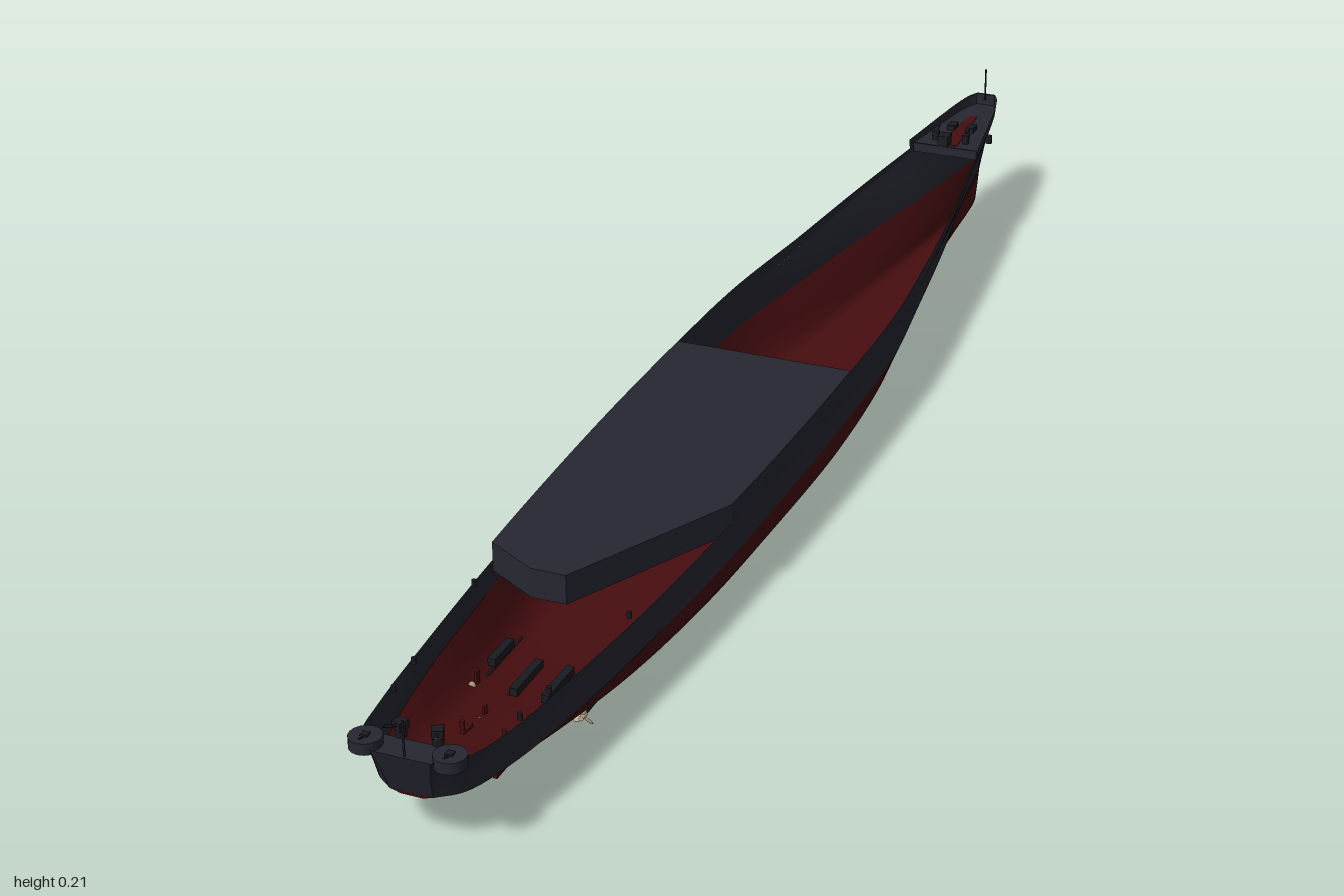
import * as THREE from 'three';

const mat = (name, color, side = THREE.FrontSide) => {
  const m = new THREE.MeshStandardMaterial({ color, side });
  m.name = name;
  return m;
};

// Surface through rows of points of equal length
function loft(rows) {
  const n = rows[0].length, idx = [];
  for (let i = 0; i < rows.length - 1; i++)
    for (let j = 0; j < n - 1; j++) {
      const a = i * n + j, b = a + n;
      idx.push(a, a + 1, b, b, a + 1, b + 1);
    }
  const g = new THREE.BufferGeometry().setFromPoints(rows.flat());
  g.setIndex(idx);
  g.computeVertexNormals();
  return g;
}

export function createModel() {
  const ship = new THREE.Group();
  ship.name = 'shipHull';
  const grey = mat('hullGrey', 0x262731, THREE.DoubleSide);
  const red = mat('antifoulingRed', 0x480e10, THREE.DoubleSide);
  const black = mat('fittingBlack', 0x1a1b20);
  const bronze = mat('propellerBronze', 0xc8b090, THREE.DoubleSide);
  const V = (x, y, z) => new THREE.Vector3(x, y, z);
  const add = (name, geo, m, x = 0, y = 0, z = 0, parent = ship) => {
    const mesh = new THREE.Mesh(geo, m);
    mesh.name = name;
    mesh.position.set(x, y, z);
    parent.add(mesh);
    return mesh;
  };
  const box = (name, w, h, d, m, x, y, z, p) => add(name, new THREE.BoxGeometry(w, h, d), m, x, y, z, p);
  const cyl = (name, r, h, m, x, y, z, p) => add(name, new THREE.CylinderGeometry(r, r, h, 16), m, x, y, z, p);

  // Stations, bow to stern: z bottom, z top, half widths (sheer, waterline, bilge), keel y, sheer y
  const stations = [
    [-0.945, -0.990, 0.012, 0.002, 0.002, 0.003, 0.150],
    [-0.925, -0.970, 0.022, 0.008, 0.004, 0, 0.148],
    [-0.780, -0.785, 0.052, 0.032, 0.018, 0, 0.136],
    [-0.600, -0.600, 0.079, 0.064, 0.044, 0, 0.125],
    [-0.400, -0.400, 0.102, 0.094, 0.074, 0, 0.113],
    [-0.220, -0.220, 0.119, 0.118, 0.106, 0, 0.108],
    [0.000, 0.000, 0.123, 0.125, 0.122, 0, 0.106],
    [0.200, 0.200, 0.122, 0.125, 0.122, 0, 0.106],
    [0.400, 0.400, 0.116, 0.122, 0.115, 0, 0.106],
    [0.580, 0.580, 0.107, 0.111, 0.097, 0.003, 0.107],
    [0.750, 0.750, 0.093, 0.096, 0.080, 0.026, 0.110],
    [0.880, 0.890, 0.078, 0.074, 0.060, 0.047, 0.114],
    [0.945, 0.960, 0.062, 0.052, 0.042, 0.057, 0.120],
    [0.968, 0.990, 0.036, 0.026, 0.018, 0.061, 0.123],
  ];
  const WL = 0.066;
  const section = ([zb, zt, wt, ww, wb, yk, ys]) => {
    const at = (x, y) => V(x, y, zb + (zt - zb) * THREE.MathUtils.clamp((y - yk) / (ys - yk), 0, 1));
    const h = WL - yk;
    return [at(0, yk), at(wb * 0.68, yk), at(wb * 0.87, yk + h * 0.16), at(wb, yk + h * 0.5),
      at(ww, WL), at((wt + ww) / 2 - 0.002, (WL + ys) / 2), at(wt, ys)];
  };
  const sections = stations.map(section);
  const lines = sections[0].map((_, j) => new THREE.CatmullRomCurve3(sections.map(s => s[j])).getPoints(78));
  const mirror = rows => rows.map(r => r.map(p => V(-p.x, p.y, p.z)));

  // Half hulls and the closing faces at stem and stern
  for (const [name, rows, m] of [['lowerHull', lines.slice(0, 5), red], ['upperHull', lines.slice(4), grey]]) {
    add(name + 'Left', loft(rows), m);
    add(name + 'Right', loft(mirror(rows)), m);
    for (const k of [0, 78]) {
      const edge = rows.map(r => r[k]);
      add(name + (k ? 'Transom' : 'Stem'), loft([edge, ...mirror([edge])]), m);
    }
  }

  // Sheer line lookup by z
  const sheer = lines[6];
  const sheerAt = z => {
    let i = 1;
    while (i < sheer.length - 1 && sheer[i].z < z) i++;
    const a = sheer[i - 1], b = sheer[i];
    return a.clone().lerp(b, THREE.MathUtils.clamp((z - a.z) / (b.z - a.z), 0, 1));
  };
  const span = (z0, z1, n) => Array.from({ length: n + 1 }, (_, i) => sheerAt(z0 + (z1 - z0) * i / n));

  // Raised side strakes, ending further forward on the left
  const strake = (name, s, z0, z1, top, flare) => {
    const low = span(z0, z1, 40).map(p => V(p.x * s, p.y, p.z));
    add(name, loft([low, low.map(p => V(p.x + s * flare, top(p.z), p.z))]), grey);
  };
  const sideTop = z => 0.13 + 0.014 * Math.pow(Math.max(0, (-0.42 - z) / 0.36), 1.2);
  const bowTop = z => 0.157 + 0.009 * (-0.78 - z) / 0.21;
  for (const s of [1, -1]) {
    const side = s > 0 ? 'Left' : 'Right';
    strake('sideStrake' + side, s, -0.78, s > 0 ? 0.36 : 0.55, sideTop, 0);
    strake('bowBulwark' + side, s, -0.989, -0.78, bowTop, 0.002);
  }
  const tip = sheerAt(-0.989);
  box('bowPlate', tip.x * 2 + 0.004, 0.017, 0.004, grey, 0, 0.1575, -0.988);

  // Flat deck plates
  const plate = (name, pts, y, m, t = 0.003) => {
    const g = new THREE.ExtrudeGeometry(new THREE.Shape(pts.map(p => new THREE.Vector2(p.x, -p.z))),
      { depth: t, bevelEnabled: false });
    g.rotateX(-Math.PI / 2);
    return add(name, g, m, 0, y, 0);
  };
  const flip = pts => pts.map(p => V(-p.x, p.y, p.z)).reverse();
  const cut = [sheerAt(0.36), V(0.005, 0, 0.59), V(-0.04, 0, 0.59), flip([sheerAt(0.55)])[0]];
  plate('mainDeck', [...span(-0.04, 0.36, 14), ...cut.slice(1, 3), ...flip(span(-0.04, 0.55, 20))], 0.1275, grey);
  for (let i = 0; i < 3; i++) {
    const wall = y => [cut[i], cut[i + 1]].map(p => V(p.x, y, p.z));
    add('deckEndBulkhead', loft([wall(0.092), wall(0.13)]), grey);
  }
  const fore = span(-0.986, -0.79, 10);
  plate('foreDeck', [...fore, ...flip(fore)], 0.146, grey);
  const inner = [V(0.005, 0, -0.93), V(0.015, 0, -0.8)];
  plate('foreDeckWell', [...inner, ...flip(inner)], 0.149, red, 0.001);

  // Light gun: pedestal, shield and barrel
  const gun = (name, x, y, z, s, dir) => {
    const g = new THREE.Group();
    g.name = name;
    cyl('pedestal', 0.006, 0.01, black, 0, 0.005, 0, g);
    box('mount', 0.012, 0.009, 0.012, black, 0, 0.013, 0, g);
    const b = cyl('barrel', 0.0015, 0.022, black, 0, 0.016, 0.012, g);
    b.rotation.x = 1.2;
    g.position.set(x, y, z);
    g.rotation.y = dir;
    g.scale.setScalar(s);
    ship.add(g);
  };

  // Stern platforms, guns, bollards and bow gear
  for (const s of [1, -1]) {
    cyl('sternGunTub', 0.019, 0.014, grey, s * 0.05, 0.121, 0.972);
    gun('sternGun', s * 0.05, 0.118, 0.972, 0.7, 0);
    gun('quarterGun', s * 0.022, 0.118, 0.945, 1.1, s * 0.4);
    gun('bowGun', s * 0.024, 0.15, -0.815, 0.8, Math.PI);
    box('anchorWinch', 0.012, 0.008, 0.02, black, s * 0.015, 0.153, -0.87);
    cyl('anchorHawse', 0.005, 0.012, black, s * 0.033, 0.125, -0.905);
    for (const z of [0.62, 0.8, 0.86]) cyl('bollard', 0.003, 0.008, black, s * (sheerAt(z).x - 0.006), 0.115, z);
    box('shaftCasing', 0.01, 0.01, 0.05, black, s * 0.072, 0.022, 0.61);
    box('shaftCasing', 0.01, 0.01, 0.07, black, s * 0.02, 0.022, 0.65);
  }
  box('sternPlatform', 0.08, 0.004, 0.035, grey, 0, 0.116, 0.967);
  box('bowDirector', 0.016, 0.016, 0.02, black, 0, 0.164, -0.785);
  box('foreDeckBreak', 0.1, 0.014, 0.003, grey, 0, 0.144, -0.788);
  cyl('bowJackstaff', 0.0013, 0.05, black, 0, 0.183, -0.984);
  cyl('sternFlagstaff', 0.0013, 0.044, black, 0, 0.14, 0.98);

  // Propellers with shafts, struts and twin rudders
  const blade = new THREE.SphereGeometry(1, 10, 6);
  const propeller = (x, z) => {
    const g = new THREE.Group();
    g.name = 'propeller';
    cyl('hub', 0.003, 0.012, bronze, 0, 0, 0, g).rotation.x = Math.PI / 2;
    for (let i = 0; i < 3; i++) {
      const arm = new THREE.Group();
      arm.name = 'bladeArm';
      arm.rotation.z = i * Math.PI * 2 / 3;
      const b = add('blade', blade, bronze, 0, 0.008, 0, arm);
      b.scale.set(0.0045, 0.0065, 0.001);
      b.rotation.y = 0.5;
      g.add(arm);
    }
    g.position.set(x, 0.014, z);
    ship.add(g);
    const shaft = cyl('propellerShaft', 0.002, 0.13, black, x, 0.0145, z - 0.065);
    shaft.rotation.x = Math.PI / 2;
    box('shaftStrut', 0.003, 0.022, 0.008, red, x, 0.024, z - 0.014);
  };
  for (const s of [1, -1]) {
    propeller(s * 0.07, 0.69);
    propeller(s * 0.028, 0.755);
    box('rudder', 0.005, 0.032, 0.048, red, s * 0.026, 0.019, 0.803);
    cyl('rudderStock', 0.003, 0.02, red, s * 0.026, 0.04, 0.8);
  }
  return ship;
}
